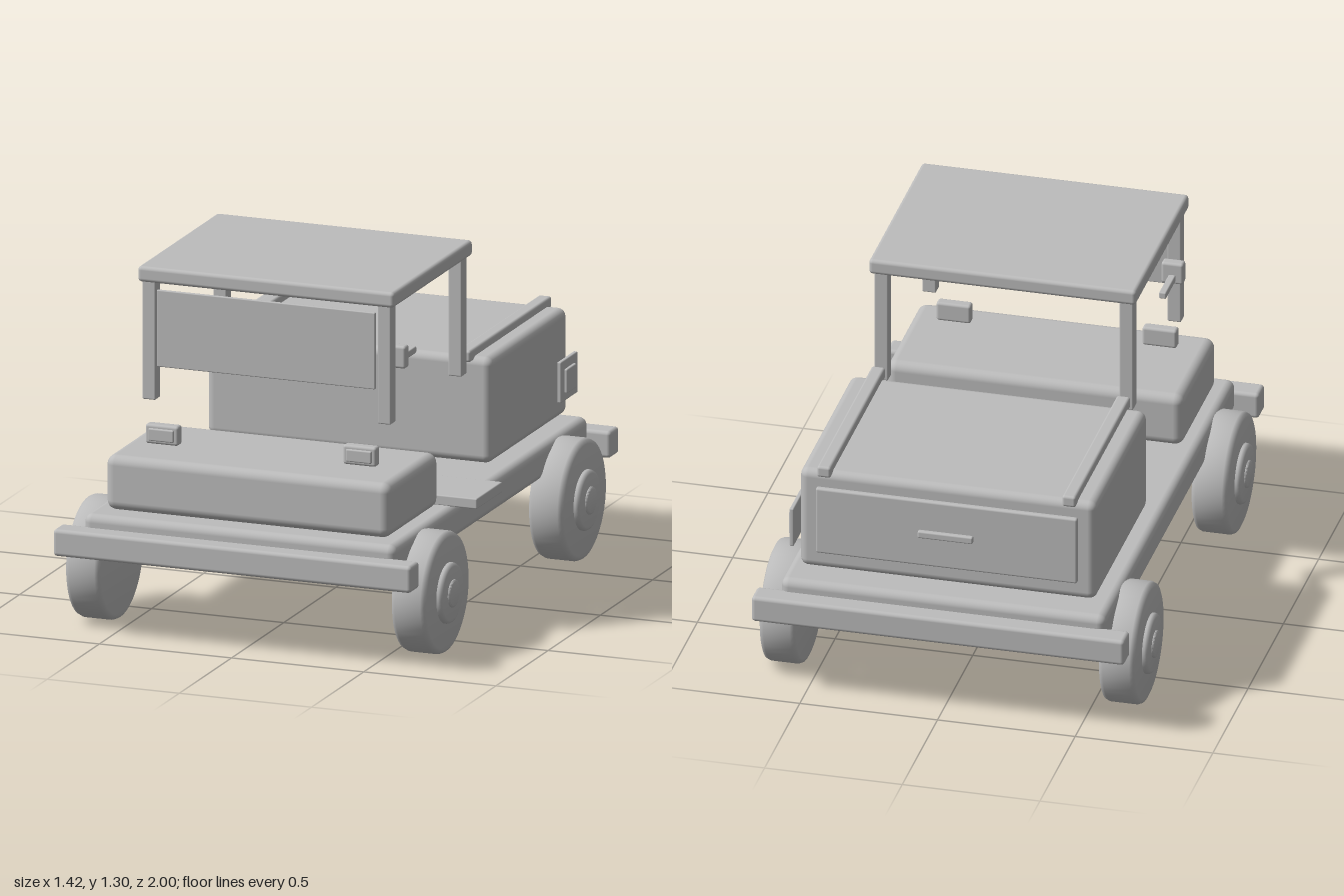
import * as THREE from 'three';
import { toCreasedNormals } from 'three/addons/utils/BufferGeometryUtils.js';
import { RoundedBoxGeometry } from 'three/addons/geometries/RoundedBoxGeometry.js';

const grey = new THREE.MeshStandardMaterial({ color: 0xbcbcbc });
grey.name = 'plain grey';

export function createModel() {
  const model = new THREE.Group();
  model.name = 'utilityTruck';

  // Rounded box given by its extents on each axis
  function block(name, [x0, x1], [y0, y1], [z0, z1], radius, parent = model) {
    const geometry = new RoundedBoxGeometry(x1 - x0, y1 - y0, z1 - z0, 3, radius);
    const mesh = new THREE.Mesh(geometry, grey);
    mesh.position.set((x0 + x1) / 2, (y0 + y1) / 2, (z0 + z1) / 2);
    mesh.name = name;
    parent.add(mesh);
    return mesh;
  }

  // Bevelled disc along x, from x0 outwards to x1
  function disc(name, radius, x0, x1, bevel, parent) {
    const profile = [
      [0, x0], [radius - bevel, x0], [radius - bevel * 0.3, x0 + bevel * 0.3], [radius, x0 + bevel],
      [radius, x1 - bevel], [radius - bevel * 0.3, x1 - bevel * 0.3], [radius - bevel, x1], [0, x1],
    ].map(([r, y]) => new THREE.Vector2(r, y));
    const geometry = toCreasedNormals(new THREE.LatheGeometry(profile, 48), 0.9);
    const mesh = new THREE.Mesh(geometry, grey);
    mesh.rotation.z = -Math.PI / 2;
    mesh.name = name;
    parent.add(mesh);
  }

  // Chassis and bumpers
  block('chassis', [-0.59, 0.59], [0.325, 0.447], [-0.93, 0.93], 0.03);
  block('frontBumper', [-0.677, 0.677], [0.302, 0.4], [0.912, 1], 0.014);
  block('rearBumper', [-0.677, 0.677], [0.302, 0.4], [-1, -0.912], 0.014);

  // Bonnet and rear cargo box
  block('bonnet', [-0.538, 0.538], [0.447, 0.647], [0.373, 0.854], 0.035);
  block('cargoBox', [-0.538, 0.538], [0.47, 0.857], [-0.86, -0.12], 0.03);
  block('tailgate', [-0.475, 0.475], [0.54, 0.797], [-0.878, -0.855], 0.008);
  block('tailgateHandle', [-0.1, 0.1], [0.657, 0.684], [-0.896, -0.876], 0.006);

  // Roof and windscreen
  block('roof', [-0.485, 0.485], [1.24, 1.297], [-0.084, 0.676], 0.014);
  block('windscreen', [-0.413, 0.413], [0.937, 1.217], [0.66, 0.673], 0.004);

  // Step and side hatch on the left flank only
  block('step', [0.43, 0.674], [0.445, 0.483], [0.112, 0.357], 0.005);
  block('sideHatch', [0.557, 0.573], [0.547, 0.697], [-0.865, -0.705], 0.005);
  block('hatchPanel', [0.568, 0.584], [0.576, 0.664], [-0.829, -0.737], 0.005);

  for (const side of [-1, 1]) {
    const span = (centre, width) => [side * centre - width / 2, side * centre + width / 2];

    // Cab posts
    block('frontPost', span(0.445, 0.05), [0.812, 1.245], [0.617, 0.667], 0.005);
    block('rearPost', span(0.445, 0.05), [0.812, 1.245], [-0.062, -0.012], 0.005);

    // Rails on the cargo box
    block('roofRail', span(0.445, 0.05), [0.842, 0.885], [-0.878, -0.095], 0.01);

    // Headlights
    block('headlight', span(0.374, 0.125), [0.668, 0.739], [0.683, 0.724], 0.01);
    block('headlightLens', span(0.374, 0.096), [0.681, 0.726], [0.715, 0.733], 0.005);

    // Mirrors with their arms
    block('mirror', span(0.455, 0.08), [0.998, 1.08], [0.549, 0.59], 0.01);
    block('mirrorArm', span(0.455, 0.026), [1.01, 1.035], [0.412, 0.555], 0.005);

    // Wheels
    for (const z of [0.657, -0.657]) {
      const wheel = new THREE.Group();
      wheel.name = (z > 0 ? 'front' : 'rear') + (side > 0 ? 'Left' : 'Right') + 'Wheel';
      disc('tyre', 0.219, 0.55, 0.682, 0.018, wheel);
      disc('hub', 0.109, 0.66, 0.702, 0.012, wheel);
      disc('hubCap', 0.05, 0.69, 0.71, 0.006, wheel);
      wheel.position.set(0, 0.219, z);
      wheel.rotation.y = side > 0 ? 0 : Math.PI;
      model.add(wheel);
    }
  }
  return model;
}
